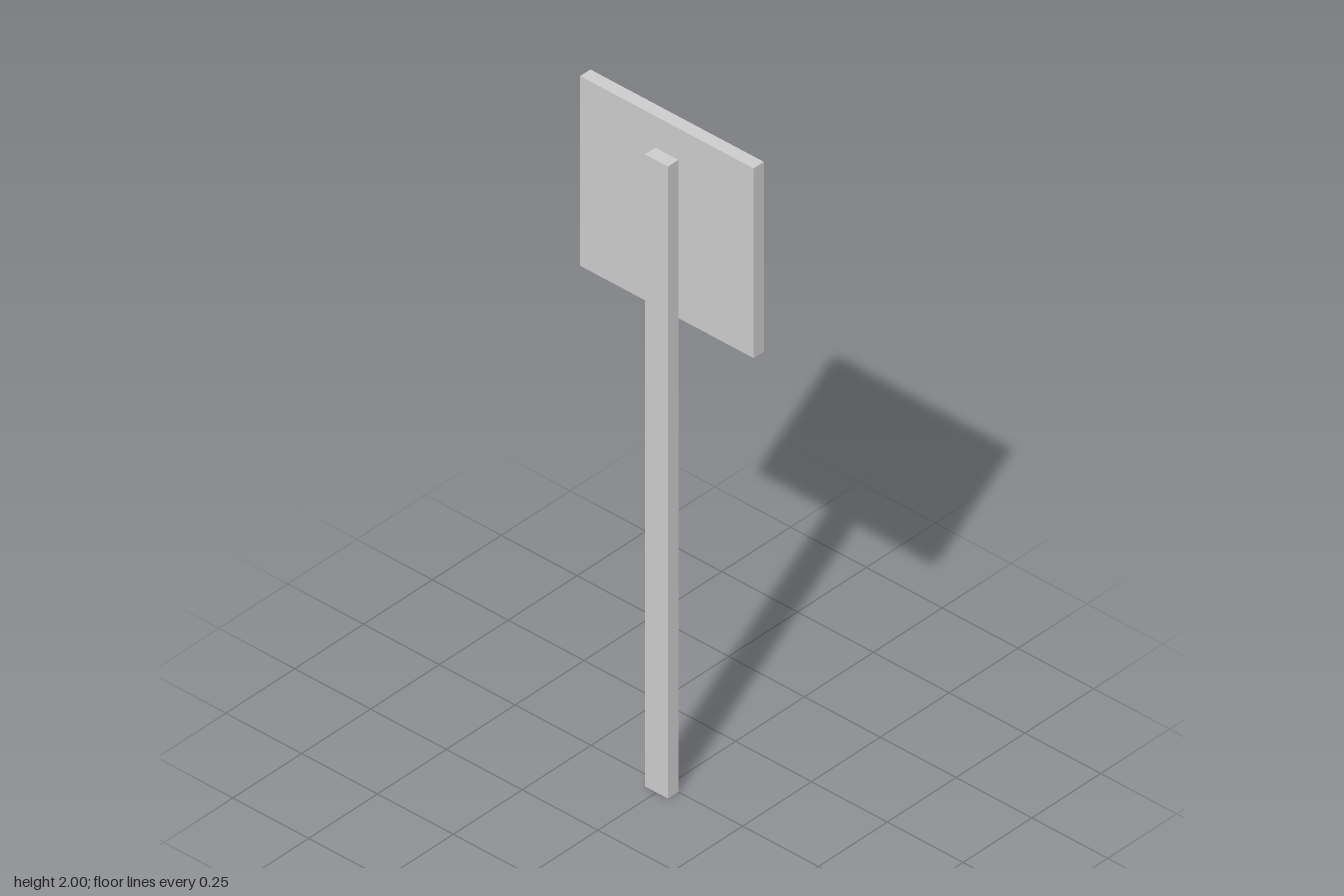
import * as THREE from 'three';

export function createModel() {
  const group = new THREE.Group();
  const material = new THREE.MeshStandardMaterial({ color: 0xcccccc, flatShading: true });

  // Box given by its size, bottom height and centre depth
  const addBox = (name, width, height, depth, bottom, z) => {
    const mesh = new THREE.Mesh(new THREE.BoxGeometry(width, height, depth), material);
    mesh.name = name;
    mesh.position.set(0, bottom + height / 2, z);
    group.add(mesh);
  };

  // Upright post standing on the ground
  addBox('post', 0.076, 1.905, 0.038, 0, 0.0185);
  // Square sign board fixed to the back of the post
  addBox('signBoard', 0.572, 0.572, 0.037, 1.428, -0.019);

  return group;
}
